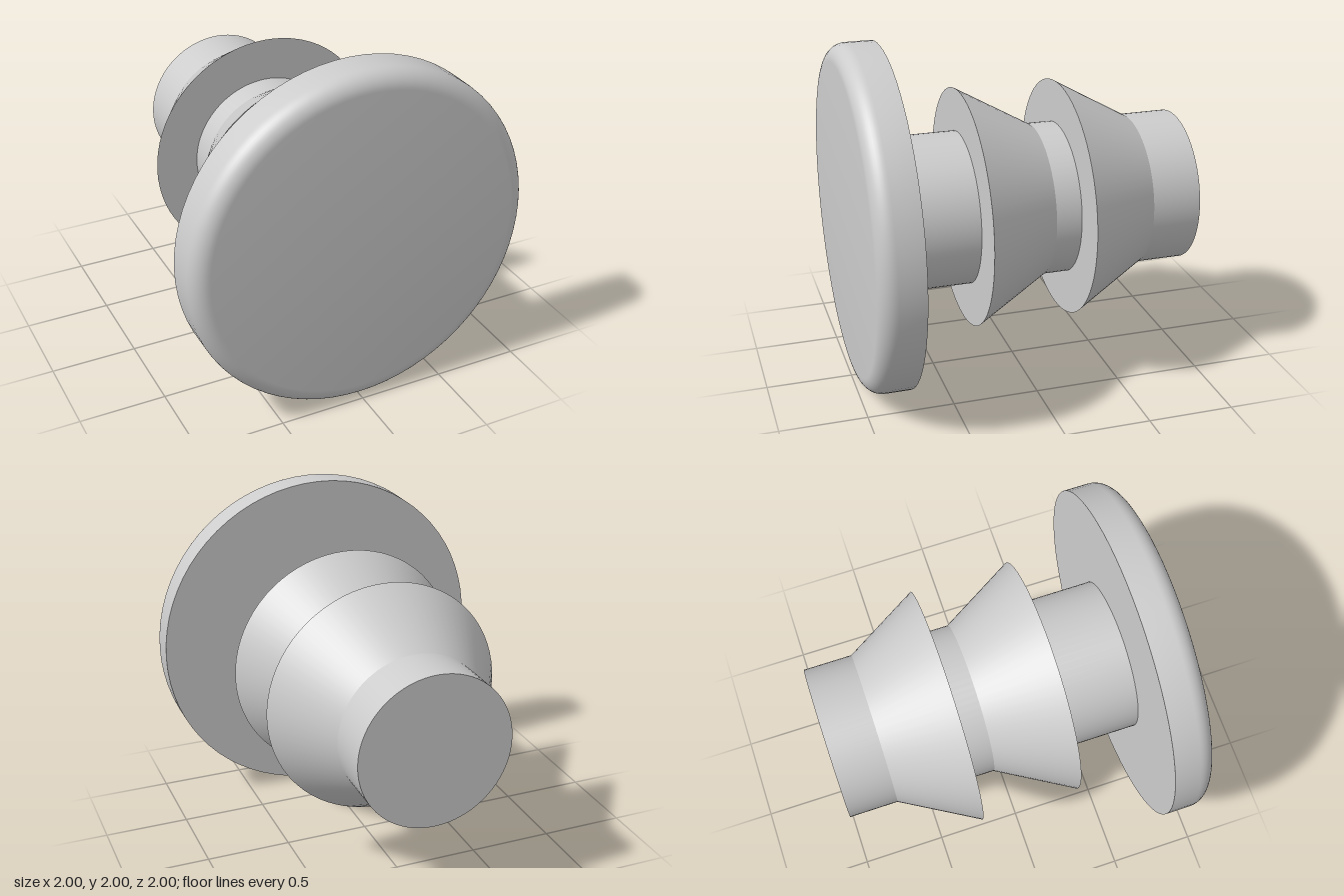
import * as THREE from 'three';
import { toCreasedNormals } from 'three/addons/utils/BufferGeometryUtils.js';

const SEGMENTS = 72;
const SHAFT_R = 0.447;

export function createModel() {
  const plastic = new THREE.MeshStandardMaterial({ color: 0xcccccc });
  plastic.name = 'lightGreyPlastic';

  const model = new THREE.Group();
  model.name = 'pushInPlug';

  // Revolves [radius, z] points, listed from back to front, around the z axis
  const addTurned = (name, profile) => {
    const points = profile.map(([r, z]) => new THREE.Vector2(r, z));
    const lathe = new THREE.LatheGeometry(points, SEGMENTS).rotateX(Math.PI / 2);
    const mesh = new THREE.Mesh(toCreasedNormals(lathe, 0.5), plastic);
    mesh.name = name;
    mesh.position.y = 1;
    model.add(mesh);
  };

  // Round head with a filleted front rim
  const fillet = 0.1;
  const head = [[0, 0.75], [1, 0.75]];
  for (let i = 0; i <= 10; i++) {
    const a = (i / 10) * Math.PI / 2;
    head.push([1 - fillet + fillet * Math.cos(a), 1 - fillet + fillet * Math.sin(a)]);
  }
  head.push([0, 1]);
  addTurned('head', head);

  // Straight shaft, closed at the back
  addTurned('shaft', [[0, -1], [SHAFT_R, -1], [SHAFT_R, 0.75]]);

  // Two conical barbs, wide and flat towards the head
  [['frontBarb', 0.31], ['rearBarb', -0.277]].forEach(([name, z]) => {
    addTurned(name, [[SHAFT_R, z - 0.438], [0.697, z], [SHAFT_R, z]]);
  });

  return model;
}
